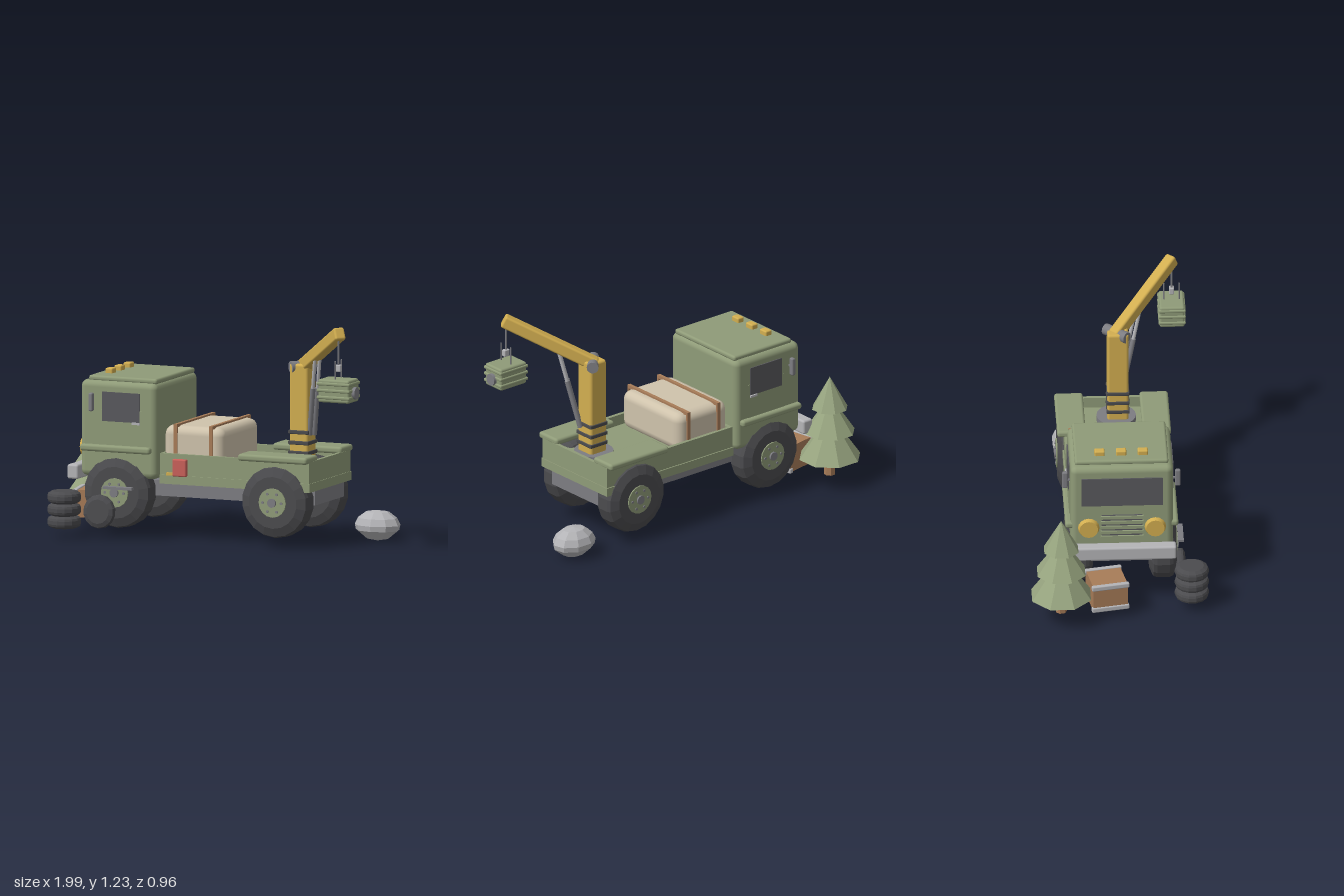
import * as THREE from 'three';
import { RoundedBoxGeometry } from 'three/addons/geometries/RoundedBoxGeometry.js';

const colors = {
  green: 0x8f9b78, leaf: 0x97a47f, rubber: 0x4b4b4e, grey: 0x7d7d82, lightGrey: 0xb4b4b7,
  yellow: 0xd2ae50, canvas: 0xcfc3ac, brown: 0xa87c58, red: 0xc9605a, glass: 0x59595d,
};
const V = (x, y, z) => new THREE.Vector3(x, y, z);
const CZ = 0.018; // centre line of the truck

export function createModel() {
  const model = new THREE.Group();
  model.name = 'craneTruckScene';
  const mats = {};
  for (const [name, color] of Object.entries(colors)) {
    mats[name] = new THREE.MeshStandardMaterial({ color });
    mats[name].name = name;
  }

  function add(name, geo, color, pos = [0, 0, 0], parent = model) {
    const m = new THREE.Mesh(geo, mats[color]);
    m.name = name;
    m.position.set(...pos);
    parent.add(m);
    return m;
  }
  // Box given by its min and max on each axis, rounded when r > 0
  function span(name, color, x0, x1, y0, y1, z0, z1, r = 0, parent = model) {
    const s = [x1 - x0, y1 - y0, z1 - z0];
    const geo = r ? new RoundedBoxGeometry(...s, 2, r) : new THREE.BoxGeometry(...s);
    return add(name, geo, color, [(x0 + x1) / 2, (y0 + y1) / 2, (z0 + z1) / 2], parent);
  }
  function flat(geo) {
    const g = geo.index ? geo.toNonIndexed() : geo;
    g.computeVertexNormals();
    return g;
  }
  function lathe(points, n) {
    return flat(new THREE.LatheGeometry(points.map((p) => new THREE.Vector2(...p)), n));
  }
  // Solid tyre around y with chamfered shoulders
  const tyre = (r, h, c, n) => lathe([[0, -h], [r * 0.72, -h], [r - c * 0.4, -h + c], [r, -h + 2 * c],
    [r, h - 2 * c], [r - c * 0.4, h - c], [r * 0.72, h], [0, h]], n);
  // Rod between two points
  function rod(name, color, a, b, r, n = 10) {
    const m = add(name, new THREE.CylinderGeometry(r, r, a.distanceTo(b), n), color);
    m.position.copy(a).lerp(b, 0.5);
    m.quaternion.setFromUnitVectors(V(0, 1, 0), b.clone().sub(a).normalize());
    return m;
  }

  // Chassis and front bumper
  span('chassis', 'grey', -0.62, 0.68, 0.235, 0.32, CZ - 0.192, CZ + 0.192);
  span('bumper', 'lightGrey', -0.745, -0.68, 0.31, 0.39, -0.28, 0.31, 0.012);
  for (const s of [-1, 1]) span('bumperBracket', 'grey', -0.69, -0.6, 0.32, 0.37, CZ + s * 0.15 - 0.02, CZ + s * 0.15 + 0.02);

  // Cab
  span('cab', 'green', -0.675, -0.222, 0.33, 0.855, CZ - 0.278, CZ + 0.278, 0.035);
  span('roof', 'green', -0.635, -0.23, 0.848, 0.878, CZ - 0.253, CZ + 0.253, 0.013);
  span('windscreen', 'glass', -0.682, -0.673, 0.62, 0.79, CZ - 0.22, CZ + 0.22);
  span('grille', 'glass', -0.681, -0.673, 0.42, 0.56, CZ - 0.11, CZ + 0.11);
  for (let i = 0; i < 5; i++) span('grilleBar', 'green', -0.69, -0.675, 0.415 + i * 0.031, 0.433 + i * 0.031, CZ - 0.115, CZ + 0.115);
  for (const z of [-0.117, 0, 0.117]) span('roofLight', 'yellow', -0.585, -0.542, 0.87, 0.905, CZ + z - 0.028, CZ + z + 0.028, 0.008);
  for (const s of [-1, 1]) {
    const side = (name, color, x0, x1, y0, y1, a, b, r = 0) =>
      span(name, color, x0, x1, y0, y1, CZ + Math.min(s * a, s * b), CZ + Math.max(s * a, s * b), r);
    side('door', 'green', -0.56, -0.3, 0.4, 0.7, 0.275, 0.281);
    side('sideWindow', 'glass', -0.54, -0.318, 0.637, 0.797, 0.276, 0.284);
    side('doorHandle', 'lightGrey', -0.36, -0.315, 0.627, 0.639, 0.278, 0.293);
    side('mirror', 'grey', -0.607, -0.583, 0.69, 0.79, 0.29, 0.32, 0.008);
    side('mirrorArm', 'grey', -0.6, -0.59, 0.735, 0.745, 0.27, 0.295);
    const lamp = add('headlight', new THREE.CylinderGeometry(0.05, 0.06, 0.026, 16), 'yellow', [-0.684, 0.48, CZ + s * 0.18]);
    lamp.rotation.z = Math.PI / 2;
    // Mudguards over both axles
    side('frontFender', 'green', -0.665, -0.25, 0.47, 0.508, 0.15, 0.306, 0.015);
    side('rearFender', 'green', 0.272, 0.682, 0.47, 0.508, 0.153, 0.308, 0.015);
    // Load bed sides
    side('bedSide', 'green', -0.203, 0.682, 0.363, 0.48, 0.25, 0.27);
    side('bedSill', 'green', -0.203, 0.682, 0.315, 0.363, 0.25, 0.277);
  }

  // Load bed
  span('bedFloor', 'green', -0.2, 0.675, 0.316, 0.42, CZ - 0.255, CZ + 0.255);
  span('tailgate', 'green', 0.662, 0.682, 0.363, 0.48, CZ - 0.27, CZ + 0.27);
  span('tailSill', 'green', 0.66, 0.686, 0.315, 0.363, CZ - 0.277, CZ + 0.277);
  span('bedFront', 'green', -0.203, -0.183, 0.363, 0.48, CZ - 0.27, CZ + 0.27);

  // Strapped cargo
  span('cargo', 'canvas', -0.198, 0.158, 0.41, 0.63, CZ - 0.245, CZ + 0.245, 0.05);
  for (const x of [-0.12, 0.09]) {
    span('strapTop', 'brown', x - 0.01, x + 0.01, 0.622, 0.64, CZ - 0.253, CZ + 0.253);
    for (const s of [-1, 1]) span('strapSide', 'brown', x - 0.01, x + 0.01, 0.42, 0.64, CZ + s * 0.248 - 0.006, CZ + s * 0.248 + 0.006);
  }

  // Fuel can on the bed side
  span('fuelCan', 'red', -0.12, -0.038, 0.36, 0.455, 0.285, 0.315, 0.008);
  span('fuelSpout', 'yellow', -0.16, -0.115, 0.363, 0.378, 0.285, 0.305);

  // Wheels
  for (const x of [-0.457, 0.478]) for (const s of [-1, 1]) {
    const wheel = new THREE.Group();
    wheel.name = 'wheel';
    wheel.position.set(x, 0.252, CZ + s * 0.227);
    wheel.rotation.x = s * Math.PI / 2;
    model.add(wheel);
    add('tyre', tyre(0.197, 0.073, 0.02, 18), 'rubber', [0, 0, 0], wheel);
    add('hub', new THREE.CylinderGeometry(0.08, 0.08, 0.02, 16), 'green', [0, 0.07, 0], wheel);
    add('hubCap', new THREE.CylinderGeometry(0.025, 0.025, 0.03, 10), 'grey', [0, 0.075, 0], wheel);
    for (let i = 0; i < 6; i++) {
      const a = i * Math.PI / 3;
      add('wheelBolt', new THREE.CylinderGeometry(0.008, 0.008, 0.012, 6), 'grey', [0.055 * Math.cos(a), 0.079, 0.055 * Math.sin(a)], wheel);
    }
  }

  // Crane column
  const cx = 0.535, cz = 0.048;
  add('turntable', new THREE.CylinderGeometry(0.107, 0.107, 0.035, 20), 'grey', [0.53, 0.435, 0.04]);
  span('craneColumn', 'yellow', cx - 0.056, cx + 0.056, 0.44, 0.985, cz - 0.058, cz + 0.058, 0.015);
  for (const y of [0.5, 0.555, 0.613]) span('columnBand', 'rubber', cx - 0.06, cx + 0.06, y - 0.011, y + 0.011, cz - 0.062, cz + 0.062, 0.005);

  // Crane boom, pivot and rams
  const a = V(0.535, 0.965, 0.04), b = V(0.885, 1.2, 0.35);
  const dir = b.clone().sub(a).normalize();
  const across = V(-dir.z, 0, dir.x).normalize();
  const boom = add('craneBoom', new RoundedBoxGeometry(0.062, 0.07, a.distanceTo(b) + 0.04, 2, 0.012), 'yellow');
  boom.position.copy(a).lerp(b, 0.5);
  boom.lookAt(b);
  rod('boomPivot', 'grey', a.clone().addScaledVector(across, -0.075), a.clone().addScaledVector(across, 0.075), 0.032, 14);
  for (const s of [-1, 1]) {
    const off = across.clone().multiplyScalar(s * 0.014);
    const foot = V(0.6, 0.6, 0.07).add(off), head = V(0.675, 1.04, 0.165).add(off);
    rod('ramCylinder', 'grey', foot, foot.clone().lerp(head, 0.6), 0.014);
    rod('ramRod', 'lightGrey', foot, head, 0.01);
  }

  // Cable, hook block and hanging load
  rod('cable', 'grey', V(0.885, 1.02, 0.355), V(0.885, 1.19, 0.355), 0.006, 8);
  span('hookBlock', 'lightGrey', 0.867, 0.903, 0.997, 1.036, 0.342, 0.368, 0.005);
  for (const z of [0.314, 0.396]) rod('loadRod', 'grey', V(0.885, 0.95, z), V(0.885, 1.06, z), 0.004, 6);
  span('hangingLoad', 'green', 0.793, 0.977, 0.834, 0.96, 0.287, 0.422, 0.012);
  for (const y of [0.862, 0.9, 0.936]) span('loadRib', 'green', 0.787, 0.983, y - 0.009, y + 0.009, 0.281, 0.428, 0.007);
  rod('loadCap', 'grey', V(0.96, 0.886, 0.355), V(0.995, 0.886, 0.355), 0.033, 14);

  // Tyre stack, leaning spare tyre and tool bar
  for (let i = 0; i < 3; i++) {
    add('stackedTyre', tyre(0.092, 0.034, 0.012, 14), 'rubber', [-0.723, 0.09 + i * 0.067, 0.393]);
  }
  const spare = add('spareTyre', tyre(0.092, 0.027, 0.01, 14), 'rubber', [-0.537, 0.148, 0.343]);
  spare.rotation.x = Math.PI / 2 - 0.08;
  span('toolBar', 'grey', -0.51, -0.34, 0.275, 0.289, 0.325, 0.36);

  // Wooden crate with metal rails
  const crate = new THREE.Group();
  crate.name = 'woodenCrate';
  crate.position.set(-0.745, 0.135, -0.068);
  crate.rotation.y = 0.19;
  model.add(crate);
  add('crateBody', new THREE.BoxGeometry(0.19, 0.15, 0.19), 'brown', [0, 0, 0], crate);
  for (const x of [-1, 1]) for (const y of [-1, 1]) {
    add('crateRail', new RoundedBoxGeometry(0.026, 0.028, 0.206, 2, 0.006), 'lightGrey', [x * 0.09, y * 0.067, 0], crate);
  }

  // Fir tree
  const tx = -0.832, tz = -0.318;
  add('treeTrunk', flat(new THREE.CylinderGeometry(0.028, 0.032, 0.14, 7)), 'brown', [tx, 0.125, tz]);
  for (const [r, y, h] of [[0.172, 0.157, 0.25], [0.14, 0.305, 0.21], [0.1, 0.443, 0.182]]) {
    const tier = add('treeTier', flat(new THREE.ConeGeometry(r, h, 8)), 'leaf', [tx, y + h / 2, tz]);
    tier.rotation.y = Math.PI / 8;
  }

  // Boulder
  const rock = add('boulder', lathe([[0, -1], [0.5, -0.85], [0.95, -0.3], [1, 0.05], [0.85, 0.5], [0.5, 0.9], [0, 1]], 9), 'lightGrey', [0.868, 0.086, -0.197]);
  rock.scale.set(0.13, 0.083, 0.1);

  return model;
}
